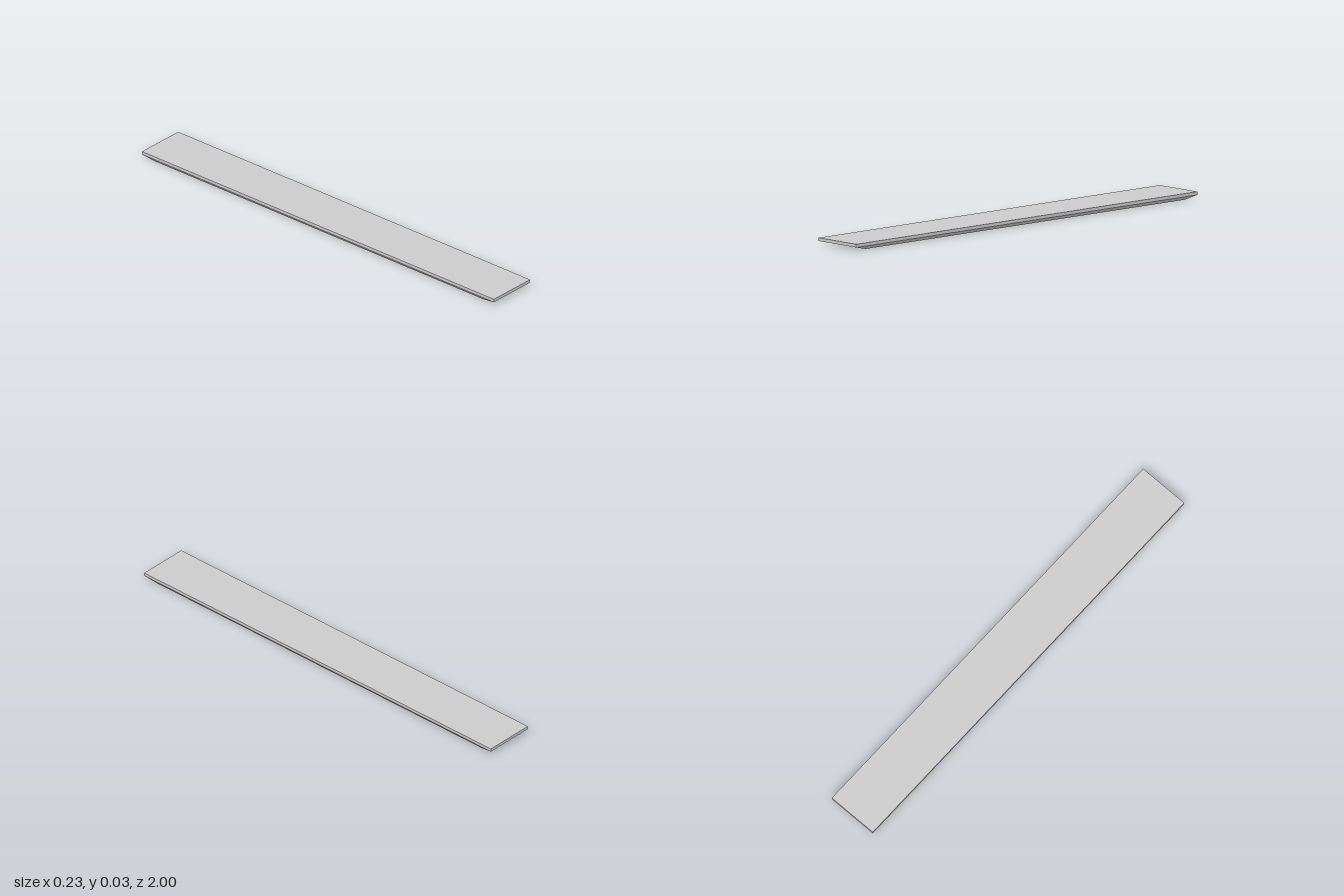
import * as THREE from 'three';

const material = new THREE.MeshStandardMaterial({ color: 0xcccccc, flatShading: true });

// Skin through rectangular loops [halfX, y, halfZ], ordered from the top cap to the last cap
function loftRectangles(loops) {
  const positions = [], index = [];
  for (const [x, y, z] of loops) positions.push(x, y, z, x, y, -z, -x, y, -z, -x, y, z);
  for (let l = 0; l < loops.length - 1; l++) {
    for (let i = 0; i < 4; i++) {
      const j = (i + 1) % 4, a = l * 4, b = a + 4;
      index.push(a + i, b + i, b + j, a + i, b + j, a + j);
    }
  }
  const e = (loops.length - 1) * 4;
  index.push(0, 1, 2, 0, 2, 3, e + 2, e + 1, e, e + 3, e + 2, e);
  const indexed = new THREE.BufferGeometry();
  indexed.setAttribute('position', new THREE.Float32BufferAttribute(positions, 3));
  indexed.setIndex(index);
  const geometry = indexed.toNonIndexed();
  geometry.computeVertexNormals();
  return geometry;
}

export function createModel() {
  const group = new THREE.Group();

  function add(name, geometry) {
    const mesh = new THREE.Mesh(geometry, material);
    mesh.name = name;
    group.add(mesh);
  }
  function addBox(name, width, y0, y1, z0, z1, x = 0) {
    const geometry = new THREE.BoxGeometry(width, y1 - y0, z1 - z0);
    geometry.translate(x, (y0 + y1) / 2, (z0 + z1) / 2);
    add(name, geometry);
  }

  // Slab with bevelled underside and a long pocket cut into it
  const pocketTop = 0.018;
  add('body', loftRectangles([
    [0.117, 0.029, 1],
    [0.117, 0.015, 1],
    [0.106, 0, 0.935],
    [0.046, 0, 0.92],
    [0.046, pocketTop, 0.92],
  ]));

  // Raised strip running along the pocket, leaving a groove around it
  addBox('centreStrip', 0.066, 0.006, pocketTop, -0.9, 0.9);

  // Wide plates across the pocket
  for (const [z, length] of [[-0.657, 0.13], [0.528, 0.08]]) {
    addBox('crossPlate', 0.096, 0.001, pocketTop, z - length / 2, z + length / 2);
  }

  // Narrow cross bars
  for (const [z, length] of [[-0.21, 0.04], [0.385, 0.04], [0.045, 0.016], [0.09, 0.016]]) {
    addBox('crossBar', 0.092, 0.002, pocketTop, z - length / 2, z + length / 2);
  }

  // Small blocks joining the middle pair of bars
  for (const side of [-1, 1]) addBox('barLink', 0.014, 0.003, pocketTop, 0.05, 0.085, side * 0.026);

  return group;
}
